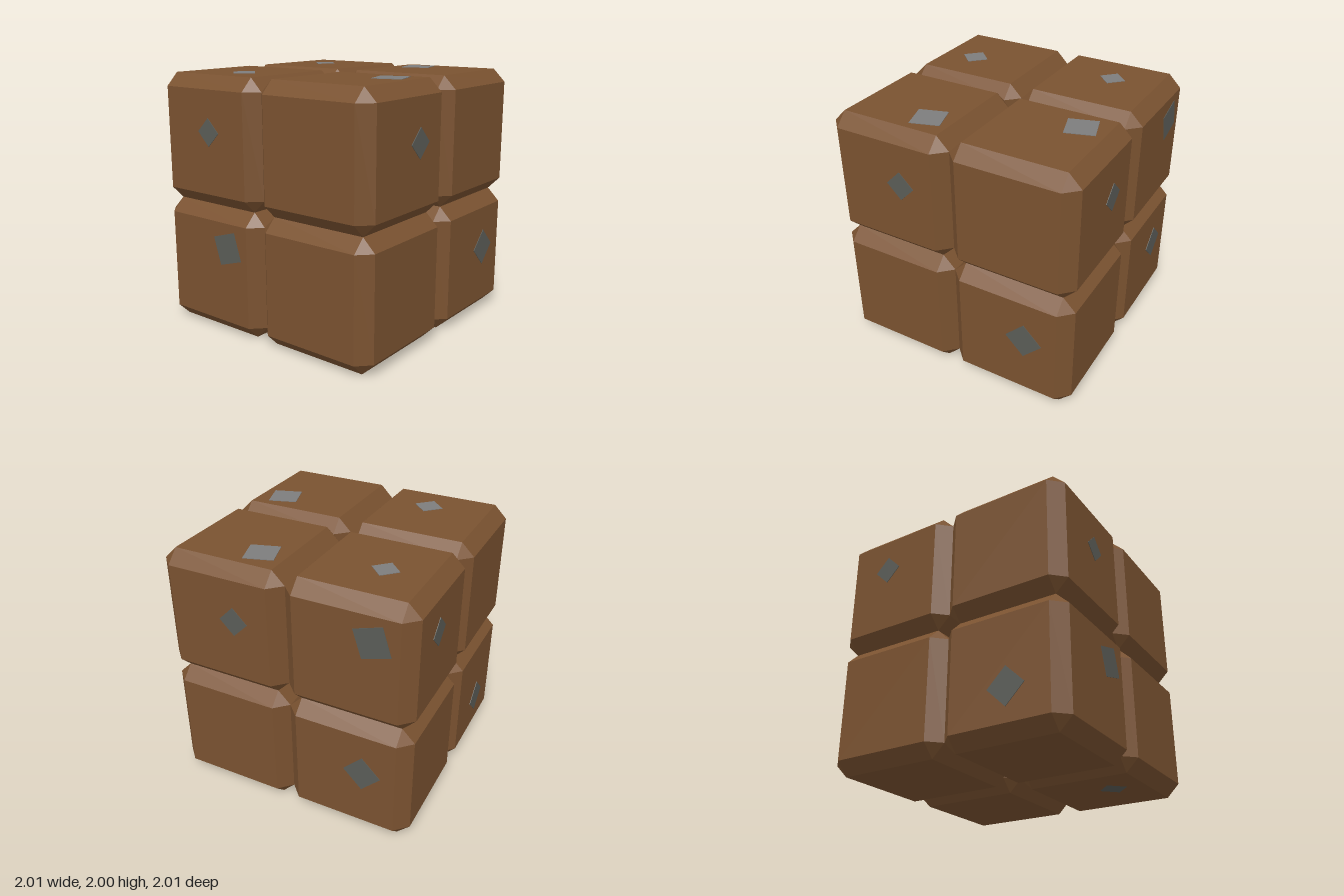
import * as THREE from 'three';
import { ConvexGeometry } from 'three/addons/geometries/ConvexGeometry.js';

const soil = new THREE.MeshStandardMaterial({ name: 'brown soil', color: 0x7a5230 });
const lightStone = new THREE.MeshStandardMaterial({ name: 'light grey stone', color: 0x7d7d7d });
const darkStone = new THREE.MeshStandardMaterial({ name: 'dark grey stone', color: 0x5a5c57 });

// Unit cube with every edge and corner cut flat by c
function chamferedCube(c) {
  const points = [];
  const h = 0.5, i = 0.5 - c;
  for (const x of [-1, 1]) for (const y of [-1, 1]) for (const z of [-1, 1]) {
    points.push(
      new THREE.Vector3(x * h, y * i, z * i),
      new THREE.Vector3(x * i, y * h, z * i),
      new THREE.Vector3(x * i, y * i, z * h)
    );
  }
  return new ConvexGeometry(points);
}

// Thin square stone; its flat side starts out facing +z
function addStone(group, name, position, rotation, side, angle, material) {
  const holder = new THREE.Group();
  holder.name = name;
  holder.position.set(...position);
  holder.rotation.set(...rotation);
  const stone = new THREE.Mesh(new THREE.BoxGeometry(side, side, 0.008), material);
  stone.name = name + 'Plate';
  stone.rotation.z = angle;
  holder.add(stone);
  group.add(holder);
}

export function createModel() {
  const model = new THREE.Group();
  model.name = 'dirtBlock';

  // Eight blocks in a 2 x 2 x 2 stack
  const block = chamferedCube(0.1);
  for (const x of [-0.5, 0.5]) for (const y of [0.5, 1.5]) for (const z of [-0.5, 0.5]) {
    const mesh = new THREE.Mesh(block, soil);
    mesh.name = (y > 1 ? 'upper' : 'lower') + (z > 0 ? 'Front' : 'Back') + (x > 0 ? 'Left' : 'Right') + 'Block';
    mesh.position.set(x, y, z);
    model.add(mesh);
  }

  // Stones set into each face: [x, y, z, side, angle]
  const D = Math.PI / 4, T = 0.3, Q = Math.PI / 2;
  const faces = [
    { name: 'topStone', rotation: [-Q, 0, 0], material: lightStone, stones: [
      [-0.585, 2, -0.545, 0.15, D], [0.3, 2, -0.7, 0.225, T],
      [0.7, 2, 0.3, 0.225, T], [-0.435, 2, 0.63, 0.163, D]] },
    { name: 'frontStone', rotation: [0, 0, 0], material: darkStone, stones: [
      [-0.46, 1.58, 1, 0.152, D], [-0.3, 0.7, 1, 0.225, T]] },
    { name: 'leftStone', rotation: [0, Q, 0], material: darkStone, stones: [
      [1, 1.57, 0.37, 0.162, D], [1, 0.56, -0.64, 0.208, D]] },
    { name: 'backStone', rotation: [0, Math.PI, 0], material: darkStone, stones: [
      [0.38, 1.57, -1, 0.162, D], [-0.7, 1.7, -1, 0.225, T], [-0.64, 0.56, -1, 0.208, D]] },
    { name: 'rightStone', rotation: [0, -Q, 0], material: darkStone, stones: [
      [-1, 1.63, -0.56, 0.163, D], [-1, 0.36, 0.56, 0.208, D]] },
    { name: 'bottomStone', rotation: [Q, 0, 0], material: darkStone, stones: [
      [0.43, 0.004, 0.64, 0.163, D]] },
  ];
  for (const { name, rotation, material, stones } of faces) {
    stones.forEach(([x, y, z, side, angle], n) =>
      addStone(model, name + (n + 1), [x, y, z], rotation, side, angle, material));
  }
  return model;
}
